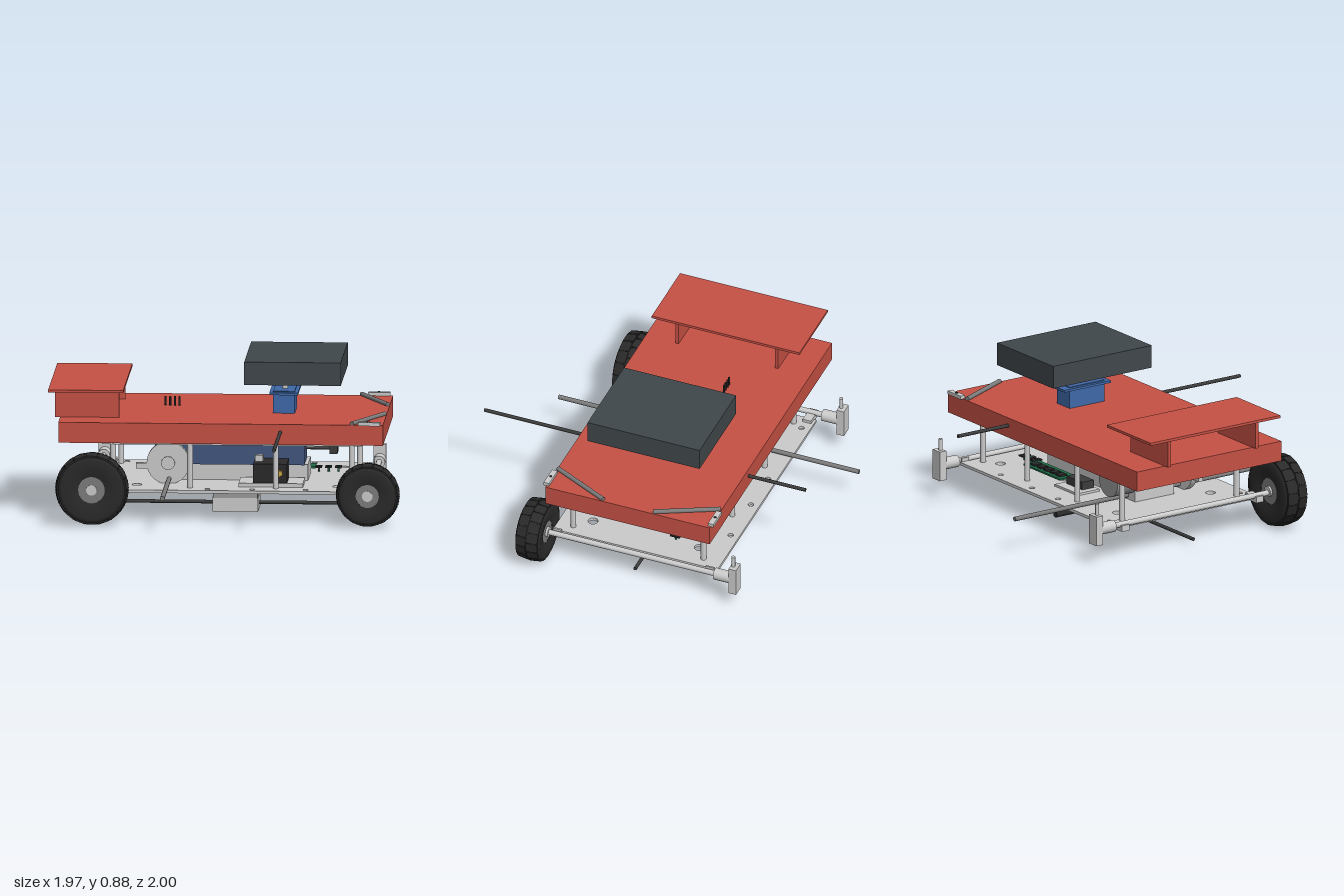
import * as THREE from 'three';

const mat = (color) => new THREE.MeshStandardMaterial({ color });
const GREY = mat(0xcccccc), RED = mat(0xc65145), BLUE = mat(0x42567f), SERVO = mat(0x3f69a8), SLATE = mat(0x40474b),
  BLACK = mat(0x2a2a2a), DARK = mat(0x3c3c3c), STEEL = mat(0x7c7c7c), MID = mat(0x9a9a9a), GREEN = mat(0x1f6b47), GOLD = mat(0xc9a93f);

export function createModel() {
  const model = new THREE.Group();

  const add = (name, geo, m, parent = model) => {
    const mesh = new THREE.Mesh(geo, m);
    mesh.name = name;
    parent.add(mesh);
    return mesh;
  };
  // Box given by its limits on each axis
  const box = (name, m, x0, x1, y0, y1, z0, z1, parent = model) => {
    const b = add(name, new THREE.BoxGeometry(x1 - x0, y1 - y0, z1 - z0), m, parent);
    b.position.set((x0 + x1) / 2, (y0 + y1) / 2, (z0 + z1) / 2);
    return b;
  };
  // Round bar between two points
  const rod = (name, m, a, b, r, parent = model, sides = 20) => {
    const p = new THREE.Vector3(...a), q = new THREE.Vector3(...b);
    const c = add(name, new THREE.CylinderGeometry(r, r, p.distanceTo(q), sides), m, parent);
    c.position.copy(p).add(q).multiplyScalar(0.5);
    c.quaternion.setFromUnitVectors(new THREE.Vector3(0, 1, 0), q.sub(p).normalize());
    return c;
  };
  // Horizontal plate with round holes
  const plate = (name, m, x0, x1, y0, y1, z0, z1, holes) => {
    const s = new THREE.Shape([[x0, -z0], [x0, -z1], [x1, -z1], [x1, -z0]].map((p) => new THREE.Vector2(...p)));
    for (const [x, z, r] of holes) s.holes.push(new THREE.Path().absarc(x, -z, r, 0, Math.PI * 2, true));
    const g = new THREE.ExtrudeGeometry(s, { depth: y1 - y0, bevelEnabled: false, curveSegments: 10 });
    g.rotateX(-Math.PI / 2);
    add(name, g, m).position.y = y0;
  };

  // Body shell and rear wing
  box('bodyShell', RED, -0.93, 0.885, 0.445, 0.56, -0.59, 0.4);
  box('wingTop', RED, -0.99, -0.57, 0.72, 0.735, -0.54, 0.35);
  for (const z of [0.21, -0.39]) box('wingSupport', RED, -0.96, -0.6, 0.56, 0.72, z - 0.01, z + 0.01);

  // Roof box on its servo
  box('roofBox', SLATE, 0.1, 0.64, 0.755, 0.885, -0.43, 0.245);
  box('servoBody', SERVO, 0.25, 0.37, 0.56, 0.685, -0.21, 0.03);
  box('servoFlange', SERVO, 0.23, 0.39, 0.667, 0.68, -0.26, 0.06);
  rod('servoShaft', GREY, [0.31, 0.68, -0.08], [0.31, 0.75, -0.08], 0.017);
  box('servoHorn', GREY, 0.17, 0.45, 0.745, 0.756, -0.1, -0.06);

  // Diagonal bars and hinges on the front corners of the shell
  for (const side of [1, -1]) {
    const mid = -0.095, z = (d) => mid + side * d;
    const bar = rod('cornerBar', STEEL, [0.71, 0.567, z(0.49)], [0.875, 0.567, z(0.15)], 0.013, model, 12);
    bar.name = side > 0 ? 'cornerBarFront' : 'cornerBarBack';
    box('cornerHinge', GREY, 0.745, 0.87, 0.558, 0.578, z(0.495) - 0.016, z(0.495) + 0.016);
    rod('hingePin', DARK, [0.805, 0.57, z(0.495)], [0.805, 0.582, z(0.495)], 0.008);
  }

  // Contact pins through the shell
  for (let i = 0; i < 4; i++) {
    const x = -0.365 + i * 0.026;
    rod('contactPin', BLACK, [x, 0.43, -0.2], [x, 0.61, -0.2], 0.006, model, 8);
  }

  // Two chassis plates joined by standoffs
  const holes = [[0.62, -0.42, 0.028], [0.62, 0.22, 0.028], [-0.5, -0.42, 0.028], [-0.5, 0.22, 0.028]];
  for (const x of [-0.6, -0.1, 0.15, 0.45]) for (const z of [-0.54, 0.35]) holes.push([x, z, 0.016]);
  plate('lowerPlate', GREY, -0.7, 0.77, 0.165, 0.182, -0.59, 0.4, holes);
  plate('upperPlate', GREY, -0.69, 0.76, 0.425, 0.435, -0.495, 0.32, []);
  for (const x of [-0.63, -0.2, 0.28, 0.705])
    for (const z of [0.305, -0.48]) rod('standoff', GREY, [x, 0.18, z], [x, 0.428, z], 0.016);

  // Battery in its tray, with lead and plug
  box('battery', BLUE, -0.41, 0.425, 0.27, 0.425, -0.23, 0.05);
  box('batteryTray', GREY, -0.4, 0.445, 0.182, 0.272, -0.225, 0.04);
  rod('batteryLead', DARK, [0.4, 0.345, -0.09], [0.57, 0.345, -0.09], 0.008);
  box('batteryPlug', DARK, 0.56, 0.605, 0.32, 0.372, -0.135, -0.04);

  // Drive motor with a round face
  rod('motorBody', MID, [-0.33, 0.31, -0.36], [-0.33, 0.31, 0.13], 0.09, model, 32);
  rod('motorFace', GREY, [-0.33, 0.295, 0.13], [-0.33, 0.295, 0.165], 0.12, model, 40);
  rod('motorBoss', GREY, [-0.33, 0.295, 0.16], [-0.33, 0.295, 0.175], 0.038);
  box('motorTab', GREY, -0.51, -0.43, 0.262, 0.292, 0.13, 0.16);

  // Camera-like module on a small board
  box('moduleBase', GREY, 0.07, 0.43, 0.182, 0.203, 0.07, 0.27);
  box('moduleBody', BLACK, 0.15, 0.34, 0.203, 0.31, 0.06, 0.255);
  box('moduleBlock', GREY, 0.155, 0.2, 0.31, 0.345, 0.13, 0.17);
  rod('moduleKnob', GOLD, [0.3, 0.26, 0.25], [0.3, 0.26, 0.285], 0.016);
  rod('moduleJack', GOLD, [0.34, 0.26, 0.015], [0.4, 0.26, 0.015], 0.014);

  // Circuit boards and chips at the back of the deck
  box('circuitBoard', GREEN, 0.12, 0.47, 0.2, 0.21, -0.37, -0.26);
  for (const x of [0.16, 0.43]) rod('boardPost', GREY, [x, 0.18, -0.31], [x, 0.2, -0.31], 0.012);
  for (let i = 0; i < 5; i++) box('chip', BLACK, 0.15 + i * 0.06, 0.19 + i * 0.06, 0.21, 0.22, -0.35, -0.3);
  for (let i = 0; i < 3; i++) {
    const x = 0.47 + i * 0.055;
    box('sensorBoard', BLACK, x, x + 0.035, 0.205, 0.213, -0.3, -0.24);
    rod('sensorPost', i ? GREEN : DARK, [x + 0.018, 0.18, -0.27], [x + 0.018, 0.215, -0.27], 0.006);
  }
  box('controlBlock', DARK, -0.08, 0.07, 0.182, 0.24, -0.36, -0.28);
  box('controlBase', GREY, -0.12, 0.1, 0.182, 0.195, -0.42, -0.27);

  // Sensor housing below the chassis
  box('sensorLower', GREY, -0.09, 0.165, 0, 0.078, -0.21, 0.035);
  box('sensorUpper', MID, -0.088, 0.163, 0.078, 0.166, -0.208, 0.033);
  rod('sensorProbe', BLACK, [0.04, 0.04, -0.2], [0.04, 0.04, -0.46], 0.018);

  // Long cross rods
  rod('lowerCrossRod', STEEL, [-0.325, 0.205, -1], [-0.325, 0.205, 0.81], 0.013);
  rod('upperCrossRod', DARK, [0.31, 0.515, -0.935], [0.31, 0.515, 1], 0.01);
  rod('lengthRod', DARK, [-0.77, 0.035, -0.09], [0.76, 0.035, -0.09], 0.01);

  // Tyre with two staggered rows of tread, rim and hub, centred on its own axis (z)
  const wheel = (name, x, y, z, r, w) => {
    const g = new THREE.Group();
    g.name = name;
    g.position.set(x, y, z);
    model.add(g);
    const h = w / 2, ri = r * 0.36;
    const pts = [[ri, -h * 0.8], [r * 0.55, -h * 0.92], [r * 0.8, -h], [r * 0.92, -h * 0.82], [r * 0.96, -h * 0.5],
      [r * 0.96, h * 0.5], [r * 0.92, h * 0.82], [r * 0.8, h], [r * 0.55, h * 0.92], [ri, h * 0.8]];
    const tyre = new THREE.LatheGeometry(pts.map((p) => new THREE.Vector2(...p)), 48);
    add('tyre', tyre.rotateX(Math.PI / 2), BLACK, g);
    const n = 18;
    for (let i = 0; i < n * 2; i++) {
      const s = i % 2 ? 1 : -1, a = (i / (n * 2)) * Math.PI * 2;
      const block = new THREE.BoxGeometry(r * 0.1, r * 0.3, h * 0.82);
      block.translate(r * 0.935, 0, s * h * 0.45);
      // Taper the blocks at the shoulder
      const p = block.attributes.position;
      for (let k = 0; k < p.count; k++)
        if (Math.abs(p.getZ(k)) > h * 0.5) p.setX(k, p.getX(k) - r * 0.05);
      block.computeVertexNormals();
      add('treadBlock', block, BLACK, g).rotation.z = a;
    }
    rod('rim', STEEL, [0, 0, -h * 0.78], [0, 0, h * 0.78], ri, g, 36);
    rod('hub', GREY, [0, 0, -h * 0.95], [0, 0, h * 0.84], 0.03, g);
  };
  wheel('rearWheel', -0.735, 0.207, 0.513, 0.207, 0.15);
  wheel('frontWheel', 0.805, 0.181, 0.48, 0.18, 0.15);

  // Axles with the bare knuckles on the far side
  for (const [name, x, y, end] of [['rear', -0.735, 0.2, -0.755], ['front', 0.805, 0.181, -0.73]]) {
    rod(name + 'Axle', GREY, [x, y, end + 0.1], [x, y, 0.46], 0.016);
    rod(name + 'KnuckleBarrel', GREY, [x, y, end + 0.14], [x, y, end + 0.03], 0.034);
    box(name + 'KnucklePlate', GREY, x - 0.035, x + 0.035, y - 0.085, y + 0.085, end, end + 0.045);
    rod(name + 'KnucklePin', GREY, [x, y + 0.08, end + 0.03], [x, y + 0.15, end + 0.03], 0.011);
    for (const z of [-0.55, 0.37]) box(name + 'AxleMount', GREY, x - 0.03, x + 0.05 * -Math.sign(x) + 0.03, 0.165, 0.2, z - 0.025, z + 0.025);
  }
  return model;
}
